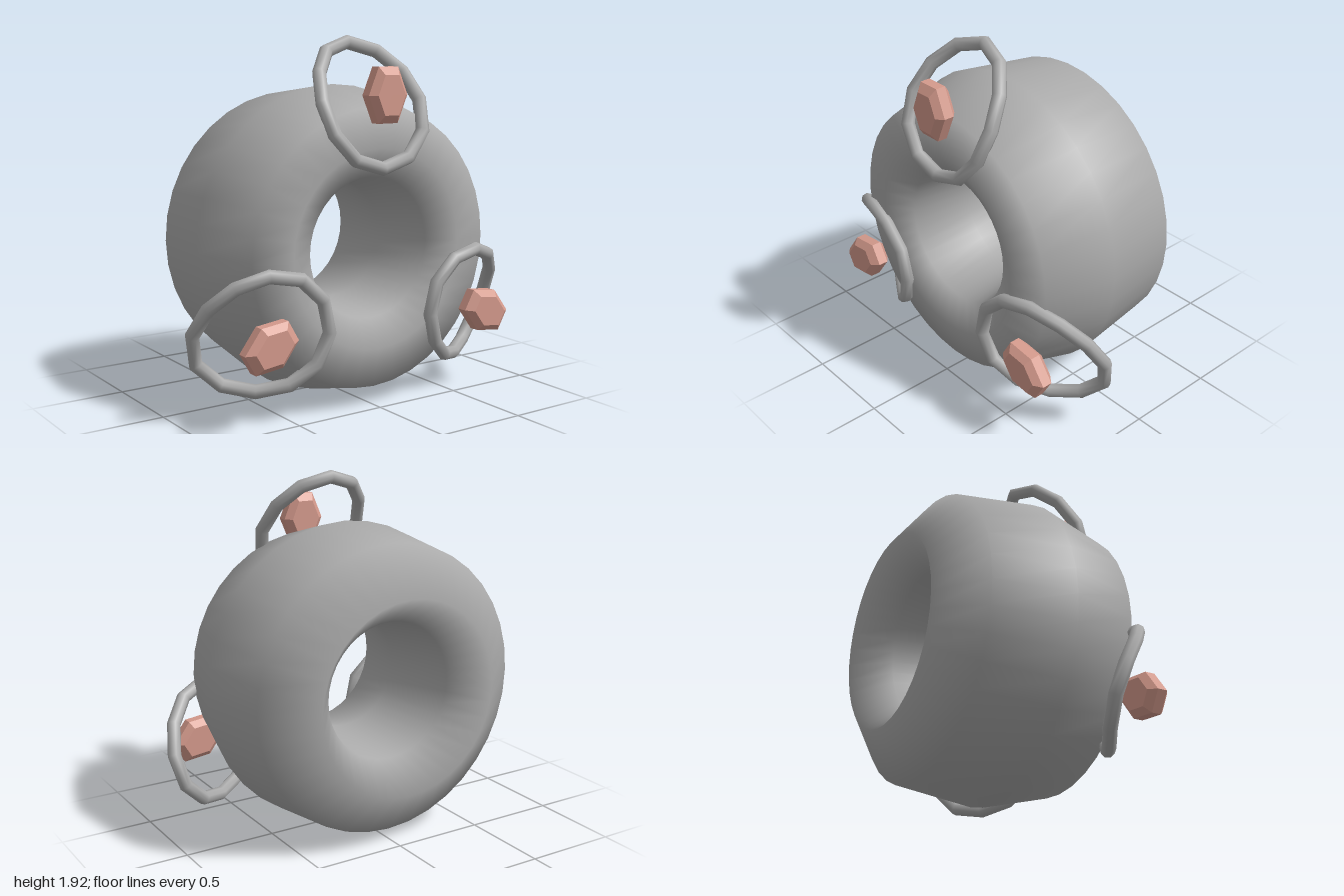
import * as THREE from 'three';
import { mergeVertices } from 'three/addons/utils/BufferGeometryUtils.js';

const pts = (list) => list.map(([r, z]) => new THREE.Vector2(r, z));

// Ring centreline: an oval that drapes back over the rounded body edge
class DrapedOval extends THREE.Curve {
  getPoint(t, target = new THREE.Vector3()) {
    const a = t * Math.PI * 2;
    const c = Math.cos(a);
    return target.set(0.305 * Math.sin(a), 0.735 + 0.315 * c, 0.425 - 0.16 * c - 0.075 * c * c);
  }
}

export function createModel() {
  const model = new THREE.Group();
  const grey = new THREE.MeshStandardMaterial({ color: 0xaaaaaa });
  grey.name = 'grey';
  const salmon = new THREE.MeshStandardMaterial({ color: 0xd49a8c });
  salmon.name = 'salmon';

  // Thick hollow body: an eight-sided section turned about the z axis
  let bodyGeo = new THREE.LatheGeometry(pts([
    [0.52, -0.58], [0.775, -0.385], [0.83, 0.06], [0.73, 0.44], [0.52, 0.485],
    [0.37, 0.4], [0.315, 0.06], [0.37, -0.385], [0.52, -0.58],
  ]), 36);
  bodyGeo.deleteAttribute('uv');
  bodyGeo.deleteAttribute('normal');
  bodyGeo = mergeVertices(bodyGeo, 1e-4);
  bodyGeo.computeVertexNormals();
  bodyGeo.rotateX(Math.PI / 2);
  const body = new THREE.Mesh(bodyGeo, grey);
  body.name = 'body';
  body.position.y = 0.84;
  model.add(body);

  const ringGeo = new THREE.TubeGeometry(new DrapedOval(), 12, 0.037, 8, true);

  // Faceted hexagonal stud with chamfers front and back
  const studGeo = new THREE.LatheGeometry(pts([
    [0, -0.06], [0.085, -0.06], [0.12, -0.027], [0.12, 0.027], [0.085, 0.06], [0, 0.06],
  ]), 6, Math.PI / 2).rotateX(Math.PI / 2).scale(1, 1.35, 1).toNonIndexed();
  studGeo.computeVertexNormals();

  // Three ring and stud pairs spaced evenly about the body axis
  ['top', 'right', 'left'].forEach((side, i) => {
    const pair = new THREE.Group();
    pair.name = side + 'RingAndStud';
    const ring = new THREE.Mesh(ringGeo, grey);
    ring.name = side + 'Ring';
    const stud = new THREE.Mesh(studGeo, salmon);
    stud.name = side + 'Stud';
    stud.position.set(0, 0.79, 0.52);
    pair.add(ring, stud);
    pair.position.y = 0.84;
    pair.rotation.z = i * Math.PI * 2 / 3;
    model.add(pair);
  });
  return model;
}
